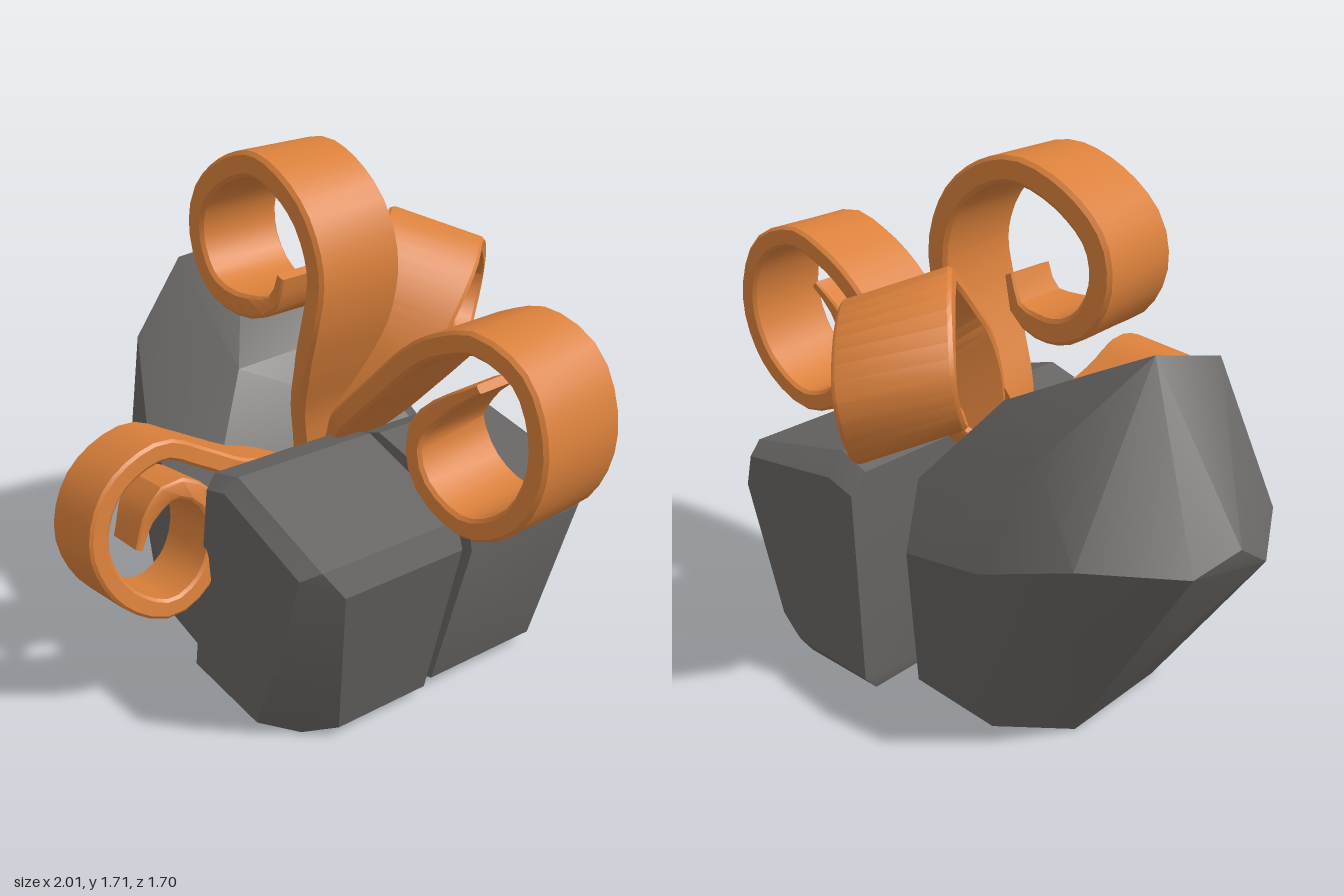
import * as THREE from 'three';
import { toCreasedNormals } from 'three/addons/utils/BufferGeometryUtils.js';
import { ConvexGeometry } from 'three/addons/geometries/ConvexGeometry.js';

const stone = new THREE.MeshStandardMaterial({ color: 0x666462 });
stone.name = 'stone grey';
const copper = new THREE.MeshStandardMaterial({ color: 0xda803b });
copper.name = 'copper orange';

const vec = (p) => new THREE.Vector3(...p);

function rock(name, points) {
  const mesh = new THREE.Mesh(toCreasedNormals(new ConvexGeometry(points.map(vec)), 0.5), stone);
  mesh.name = name;
  return mesh;
}

// Block with one worn end face: outline in x,y from zIn to zEdge (or its own z), smaller face at zFace
function blockPoints(outline, face, zIn, zEdge, zFace) {
  return [
    ...outline.flatMap(([x, y, z = zEdge]) => [[x, y, zIn], [x, y, z]]),
    ...face.map(([x, y]) => [x, y, zFace]),
  ];
}

// Curled strip: an eight-sided flat section swept along a path, narrow at the root and tip
function curl(name, path, across0, across1, width, thickness, taper) {
  const curve = new THREE.CatmullRomCurve3(path.map(vec));
  const steps = 44, positions = [], index = [];
  const section = [[-1, -0.7], [-0.93, -1], [0.93, -1], [1, -0.7], [1, 0.7], [0.93, 1], [-0.93, 1], [-1, 0.7]];
  const n = section.length;
  const ease = THREE.MathUtils.smoothstep;
  for (let i = 0; i <= steps; i++) {
    const t = i / steps;
    const p = curve.getPointAt(t), tangent = curve.getTangentAt(t);
    const w = vec(across0).lerp(vec(across1), Math.min(1, t * 2));
    w.addScaledVector(tangent, -w.dot(tangent)).normalize();
    const normal = new THREE.Vector3().crossVectors(tangent, w);
    const half = width / 2 * (0.2 + 0.8 * ease(t, 0, taper)) * (1 - 0.4 * ease(t, 0.82, 1));
    const thick = thickness / 2 * (1 - 0.6 * ease(t, 0.9, 1));
    for (const [u, v] of section) {
      positions.push(...p.clone().addScaledVector(w, u * half).addScaledVector(normal, v * thick).toArray());
    }
  }
  for (let i = 0; i < steps; i++) {
    for (let j = 0; j < n; j++) {
      const a = i * n + j, b = i * n + (j + 1) % n;
      index.push(a, b, b + n, a, b + n, a + n);
    }
  }
  const end = steps * n;
  for (let j = 1; j < n - 1; j++) index.push(0, j + 1, j, end, end + j, end + j + 1);
  const geometry = new THREE.BufferGeometry();
  geometry.setAttribute('position', new THREE.Float32BufferAttribute(positions, 3));
  geometry.setIndex(index);
  const mesh = new THREE.Mesh(toCreasedNormals(geometry, 0.6), copper);
  mesh.name = name;
  return mesh;
}

export function createModel() {
  const group = new THREE.Group();
  group.name = 'rocksWithCurls';

  // Large leaning boulder
  group.add(rock('leaningRock', [
    [-0.5, 0, 0.1], [-0.5, 0, -0.3], [-0.34, 0, 0.32], [0.02, 0, 0.36], [0.2, 0, -0.3], [0.05, 0, -0.44], [-0.3, 0, -0.46],
    [-0.28, 0.17, 0.43], [-0.02, 0.1, 0.42], [-0.27, 0.78, 0.44], [0.02, 0.55, 0.41], [-0.55, 0.5, 0.33],
    [-1, 0.7, -0.1], [-0.98, 0.77, -0.2], [-0.93, 0.72, -0.35], [-0.94, 0.8, 0.02], [-0.8, 0.72, 0.16],
    [-0.63, 0.65, 0.31], [-0.62, 0.99, 0.27], [-0.67, 1.25, -0.2], [-0.73, 1.2, 0.03], [-0.2, 0.98, 0.13],
    [-0.19, 1.01, -0.28], [-0.5, 0.98, -0.48], [-0.7, 0.75, -0.57], [-0.4, 0.65, -0.62], [-0.1, 0.6, -0.61],
    [0.04, 0.73, -0.42], [-0.3, 0.21, -0.53],
  ]));

  // Two squat blocks side by side
  group.add(rock('frontBlock', blockPoints(
    [[-0.04, 0.03], [0, 0], [0.42, 0, 0.33], [0.51, 0.04, 0.25], [0.65, 0.63, 0.34], [0.62, 0.72], [0.2, 0.84], [0.07, 0.8], [-0.03, 0.4]],
    [[-0.01, 0.06], [0.35, 0.05], [0.48, 0.38], [0.58, 0.69], [0.2, 0.8], [0.1, 0.77]],
    -0.1, 0.4, 0.45)));
  group.add(rock('backBlock', blockPoints(
    [[0.1, 0.02], [0.42, 0.02], [0.5, 0.05], [0.65, 0.61], [0.62, 0.74], [0.2, 0.83], [0.1, 0.79]],
    [[0.08, 0.09], [0.4, 0.1], [0.48, 0.17], [0.62, 0.6], [0.59, 0.71], [0.2, 0.76], [0.1, 0.73]],
    -0.14, -0.58, -0.64)));

  // Four curled strips fanning out of the gap
  group.add(curl('leftCurl', [
    [-0.02, 0.68, -0.1], [0.1, 0.83, -0.13], [0.32, 1.06, -0.14], [0.5, 1.24, -0.15], [0.62, 1.31, -0.155],
    [0.74, 1.345, -0.16], [0.89, 1.28, -0.18], [0.965, 1.08, -0.185], [0.9, 0.88, -0.175], [0.72, 0.775, -0.165],
    [0.55, 0.84, -0.155], [0.49, 0.97, -0.155], [0.56, 1.08, -0.16], [0.69, 1.18, -0.17],
  ], [0.03, 0, 1], [0.07, 0, 1], 0.31, 0.07, 0.13));
  group.add(curl('rightCurl', [
    [0, 0.7, 0], [0.03, 0.9, 0], [0.1, 1.08, -0.02], [0.155, 1.25, -0.04], [0.165, 1.4, -0.05],
    [0.11, 1.55, -0.04], [0, 1.64, -0.03], [-0.14, 1.67, -0.03], [-0.3, 1.61, -0.02], [-0.41, 1.5, -0.01],
    [-0.43, 1.37, -0.01], [-0.36, 1.25, -0.01], [-0.22, 1.2, -0.01], [-0.09, 1.23, -0.02], [-0.05, 1.33, -0.02],
  ], [0, 0, 1], [0.06, 0, 1], 0.31, 0.08, 0.27));
  group.add(curl('frontCurl', [
    [0.02, 0.66, 0.02], [0, 0.73, 0.16], [-0.04, 0.77, 0.3], [-0.07, 0.83, 0.42], [-0.075, 0.895, 0.56],
    [-0.06, 0.82, 0.74], [-0.04, 0.65, 0.81], [-0.02, 0.47, 0.74], [0, 0.39, 0.6], [-0.01, 0.45, 0.47],
    [-0.03, 0.6, 0.41], [-0.04, 0.72, 0.45], [-0.04, 0.765, 0.54], [-0.03, 0.7, 0.62], [-0.02, 0.6, 0.665],
  ], [1, 0.1, 0], [1, 0.13, -0.06], 0.23, 0.065, 0.17));
  group.add(curl('backCurl', [
    [0, 0.7, -0.08], [0.05, 0.95, -0.17], [0.09, 1.12, -0.27], [0.08, 1.25, -0.37], [0.04, 1.33, -0.46],
    [-0.03, 1.365, -0.54], [-0.13, 1.31, -0.65], [-0.2, 1.17, -0.72], [-0.18, 1.03, -0.67], [-0.1, 0.97, -0.57],
    [-0.02, 1.0, -0.49], [-0.01, 1.07, -0.49], [-0.06, 1.12, -0.53],
  ], [0.67, -0.15, -0.7], [0.65, -0.3, -0.68], 0.33, 0.055, 0.27));
  return group;
}
